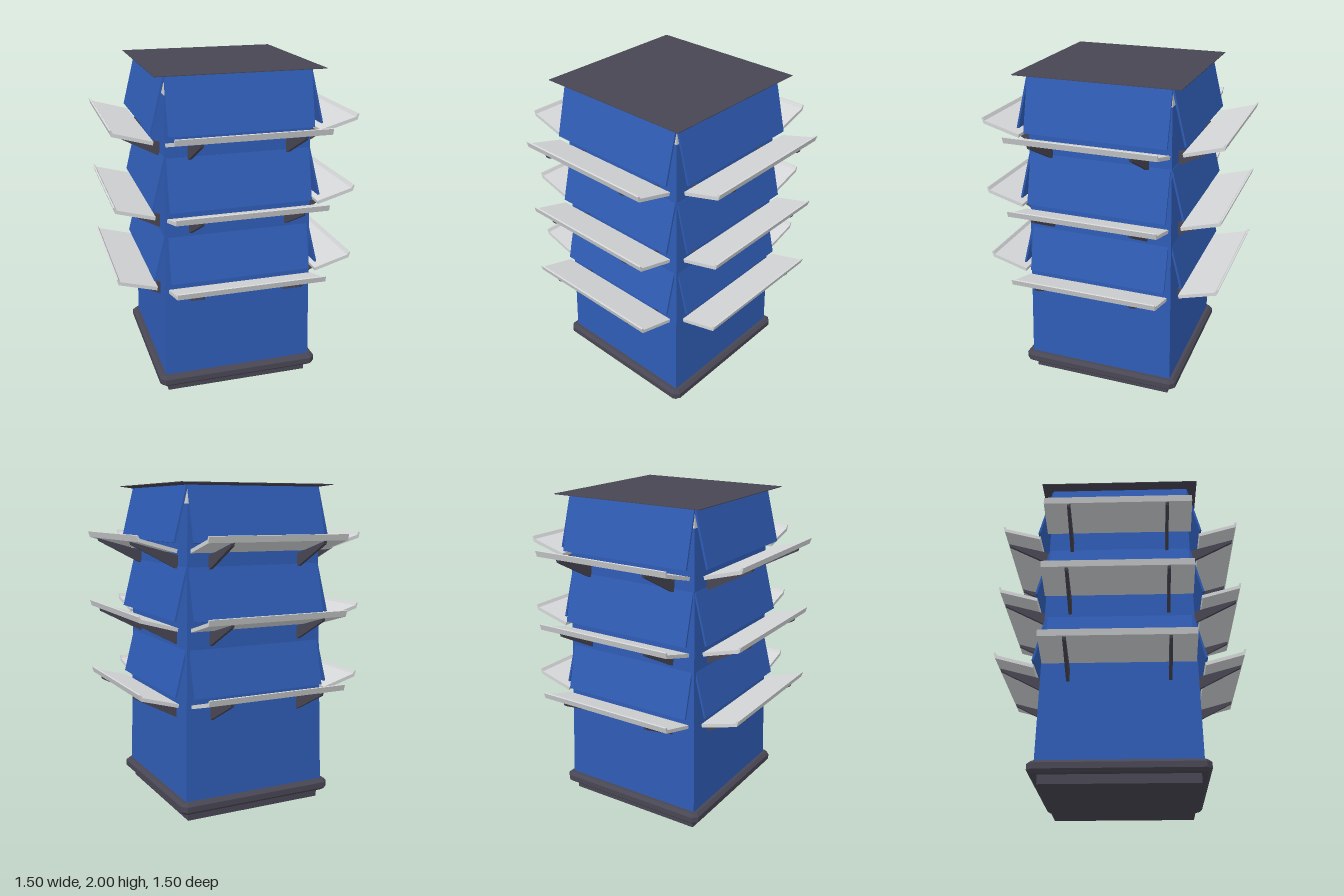
import * as THREE from 'three';

const mat = (name, color) => {
  const m = new THREE.MeshStandardMaterial({ color });
  m.name = name;
  return m;
};

function add(parent, name, geometry, material) {
  const mesh = new THREE.Mesh(geometry, material);
  mesh.name = name;
  parent.add(mesh);
  return mesh;
}

// Square frustum with flat faces, given half widths at bottom and top
function frustum(bottom, top, y0, y1) {
  const g = new THREE.CylinderGeometry(top * Math.SQRT2, bottom * Math.SQRT2, y1 - y0, 4);
  g.rotateY(Math.PI / 4).translate(0, (y0 + y1) / 2, 0);
  const flat = g.toNonIndexed();
  flat.computeVertexNormals();
  return flat;
}

// Profile in (z, y), extruded across x
function profile(points, width, x = 0) {
  const shape = new THREE.Shape(points.map(([z, y]) => new THREE.Vector2(z, y)));
  const g = new THREE.ExtrudeGeometry(shape, { depth: width, bevelEnabled: false });
  return g.translate(0, 0, -width / 2).rotateY(-Math.PI / 2).translate(x, 0, 0);
}

// Square bumper with clipped corners and bevelled rims
function bumper() {
  const h = 0.495, c = 0.475;
  const shape = new THREE.Shape([
    [h, -c], [h, c], [c, h], [-c, h], [-h, c], [-h, -c], [-c, -h], [c, -h],
  ].map(([x, y]) => new THREE.Vector2(x, y)));
  const g = new THREE.ExtrudeGeometry(shape, {
    depth: 0.035, bevelSize: 0.02, bevelThickness: 0.018, bevelSegments: 1,
  });
  return g.rotateX(-Math.PI / 2).translate(0, 0.073, 0);
}

export function createModel() {
  const blue = mat('blue', 0x2f5cb5);
  const dark = mat('charcoal', 0x484653);
  const pale = mat('paleGrey', 0xd4d6d7);
  const model = new THREE.Group();
  model.name = 'displayTower';

  // Base, tapered body and lid
  add(model, 'plinth', frustum(0.457, 0.457, 0, 0.06), dark);
  add(model, 'bumper', bumper(), dark);
  add(model, 'body', frustum(0.475, 0.437, 0.12, 1.88), blue);
  add(model, 'neck', frustum(0.437, 0.435, 1.88, 1.985), pale);
  add(model, 'lid', frustum(0.44, 0.505, 1.984, 1.996), dark);
  add(model, 'lidTop', frustum(0.505, 0.505, 1.996, 2), dark);

  // Four identical sides, three tiers each
  for (let s = 0; s < 4; s++) {
    const side = new THREE.Group();
    side.name = 'side' + (s + 1);
    side.rotation.y = s * Math.PI / 2;
    model.add(side);

    for (let t = 0; t < 3; t++) {
      const tier = new THREE.Group();
      tier.name = 'tier' + (t + 1);
      tier.position.y = -0.45 * t;
      side.add(tier);

      // Slanted back panel
      const top = [1.985, 1.97, 1.955][t], r = 0.437 + 0.004 * t;
      add(tier, 'backPanel',
        profile([[0.513, 1.66], [0.525, 1.663], [r + 0.006, top], [r - 0.006, top]], 0.874), blue);

      // Sloping tray with a raised front lip
      add(tier, 'tray', profile([
        [0.511, 1.605], [0.741, 1.67], [0.752, 1.706], [0.742, 1.708],
        [0.731, 1.689], [0.506, 1.626],
      ], 0.904), pale);

      // Pair of brackets under the tray
      for (const x of [-0.3, 0.3]) {
        add(tier, 'bracket',
          profile([[0.44, 1.505], [0.462, 1.508], [0.73, 1.65], [0.735, 1.667], [0.44, 1.583]], 0.02, x), dark);
      }
    }
  }
  return model;
}
